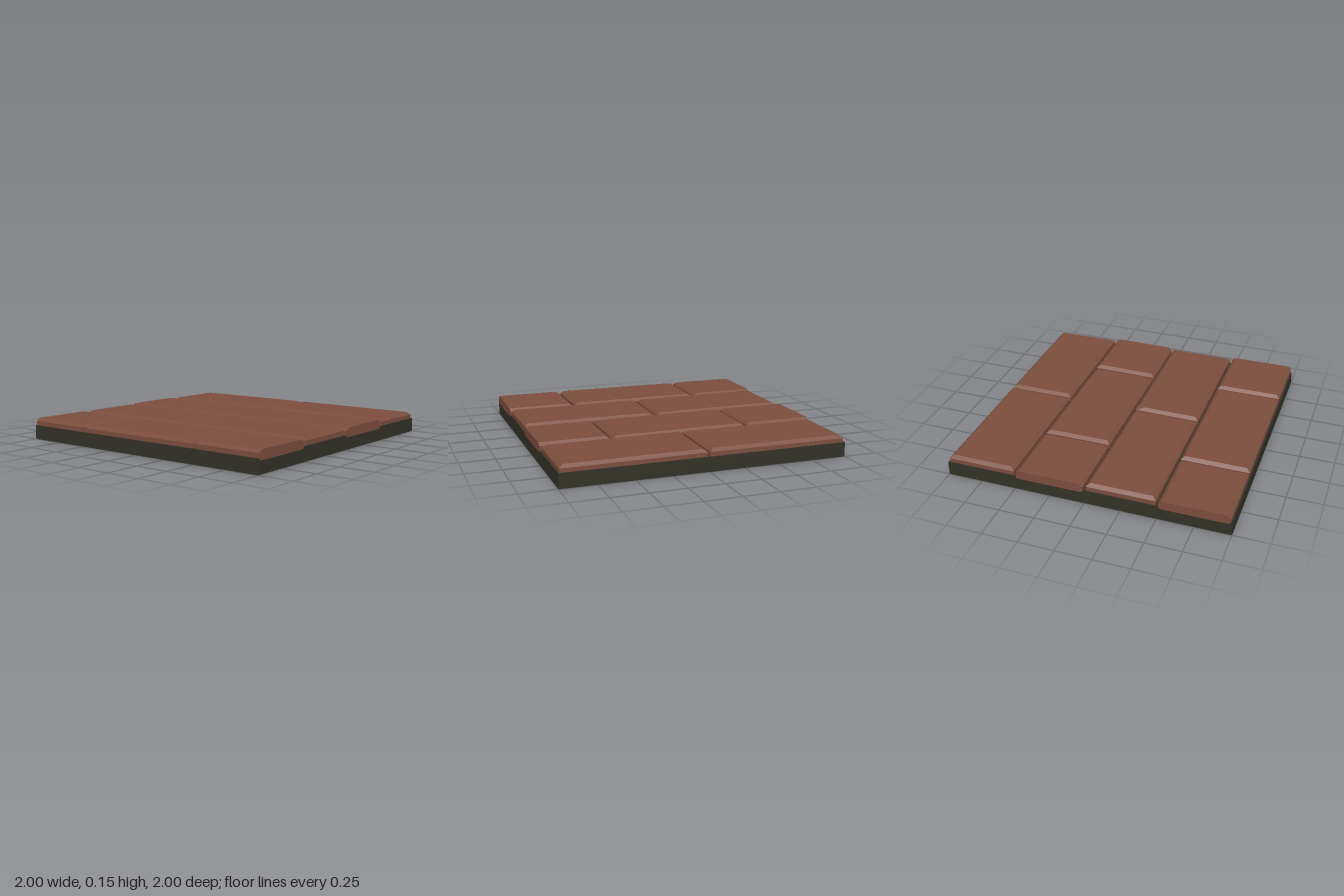
import * as THREE from 'three';

// Bevelled brick lofted from four rings; open edges (cutL, cutR) stay flush with the slab.
function brickGeometry({ x0, x1, z0, z1, cutL, cutR, tilt = [0, 0, 0], chip = -1, chipSize = 0 }) {
  const rings = [[0.085, 0.012], [0.097, 0], [0.13, 0], [0.15, 0.024]]; // height, inset
  const positions = [];
  const index = [];
  rings.forEach(([y, inset], level) => {
    const l = x0 + (cutL ? 0 : inset);
    const r = x1 - (cutR ? 0 : inset);
    const corners = [[l, z0 + inset], [l, z1 - inset], [r, z1 - inset], [r, z0 + inset]]
      .map(([x, z]) => new THREE.Vector2(x, z));
    corners.forEach((p, k) => {
      const size = k === chip && level > 1 ? (level === 3 ? chipSize : 0.012) : 0.001;
      for (const q of [corners[(k + 3) % 4], corners[(k + 1) % 4]]) {
        const v = q.clone().sub(p).setLength(size).add(p);
        const u = (v.x - x0) / (x1 - x0) - 0.5;
        const w = (v.y - z0) / (z1 - z0) - 0.5;
        const lift = level > 1 ? tilt[0] + tilt[1] * u + tilt[2] * w : 0;
        positions.push(v.x, y + lift, v.y);
      }
    });
  });
  for (let r = 0; r < 3; r++) {
    for (let i = 0; i < 8; i++) {
      const a = r * 8 + i;
      const b = r * 8 + (i + 1) % 8;
      index.push(a, b, b + 8, a, b + 8, a + 8);
    }
  }
  for (let i = 1; i < 7; i++) {
    index.push(24, 24 + i, 25 + i); // top
    index.push(0, i + 1, i); // bottom
  }
  const indexed = new THREE.BufferGeometry();
  indexed.setAttribute('position', new THREE.Float32BufferAttribute(positions, 3));
  indexed.setIndex(index);
  const geometry = indexed.toNonIndexed();
  geometry.computeVertexNormals();
  return geometry;
}

export function createModel() {
  const group = new THREE.Group();
  group.name = 'brickPavingTile';

  const mortar = new THREE.MeshStandardMaterial({ name: 'dark mortar', color: 0x323228 });
  const brick = new THREE.MeshStandardMaterial({ name: 'brick red', color: 0x7c4e3e });

  // Mortar slab
  const slab = new THREE.Mesh(new THREE.BoxGeometry(1.998, 0.1, 2), mortar);
  slab.name = 'mortarSlab';
  slab.position.y = 0.05;
  group.add(slab);

  // Running bond: two whole bricks, then a whole brick between two halves
  const gap = 0.01;
  const wholeRow = [{ x0: -0.99, x1: -gap }, { x0: gap, x1: 0.99 }];
  const staggeredRow = [
    { x0: -1, x1: -0.5 - gap, cutL: true },
    { x0: -0.5 + gap, x1: 0.5 - gap },
    { x0: 0.5 + gap, x1: 1, cutR: true },
  ];
  // Slight settling of each brick: lift, slope along x, slope along z
  const tilts = [
    [0, 0.002, 0.002], [0, -0.002, 0.003],
    [0.001, 0.002, 0], [0, -0.003, 0.002], [0.001, 0, -0.003],
    [0.001, -0.002, 0.002], [0.002, 0.002, -0.003],
    [0, 0.002, 0.002], [0, 0.003, 0], [0.001, 0, 0.002],
  ];
  // Knocked-off corners
  const chips = { 3: { chip: 2, chipSize: 0.05 }, 6: { chip: 0, chipSize: 0.04 } };

  let n = 0;
  for (let row = 0; row < 4; row++) {
    const z0 = -1 + row * 0.5 + gap;
    for (const span of row % 2 ? staggeredRow : wholeRow) {
      const geometry = brickGeometry({ ...span, z0, z1: z0 + 0.48, tilt: tilts[n], ...chips[n] });
      const mesh = new THREE.Mesh(geometry, brick);
      n++;
      mesh.name = `brick${n}`;
      group.add(mesh);
    }
  }
  return group;
}
